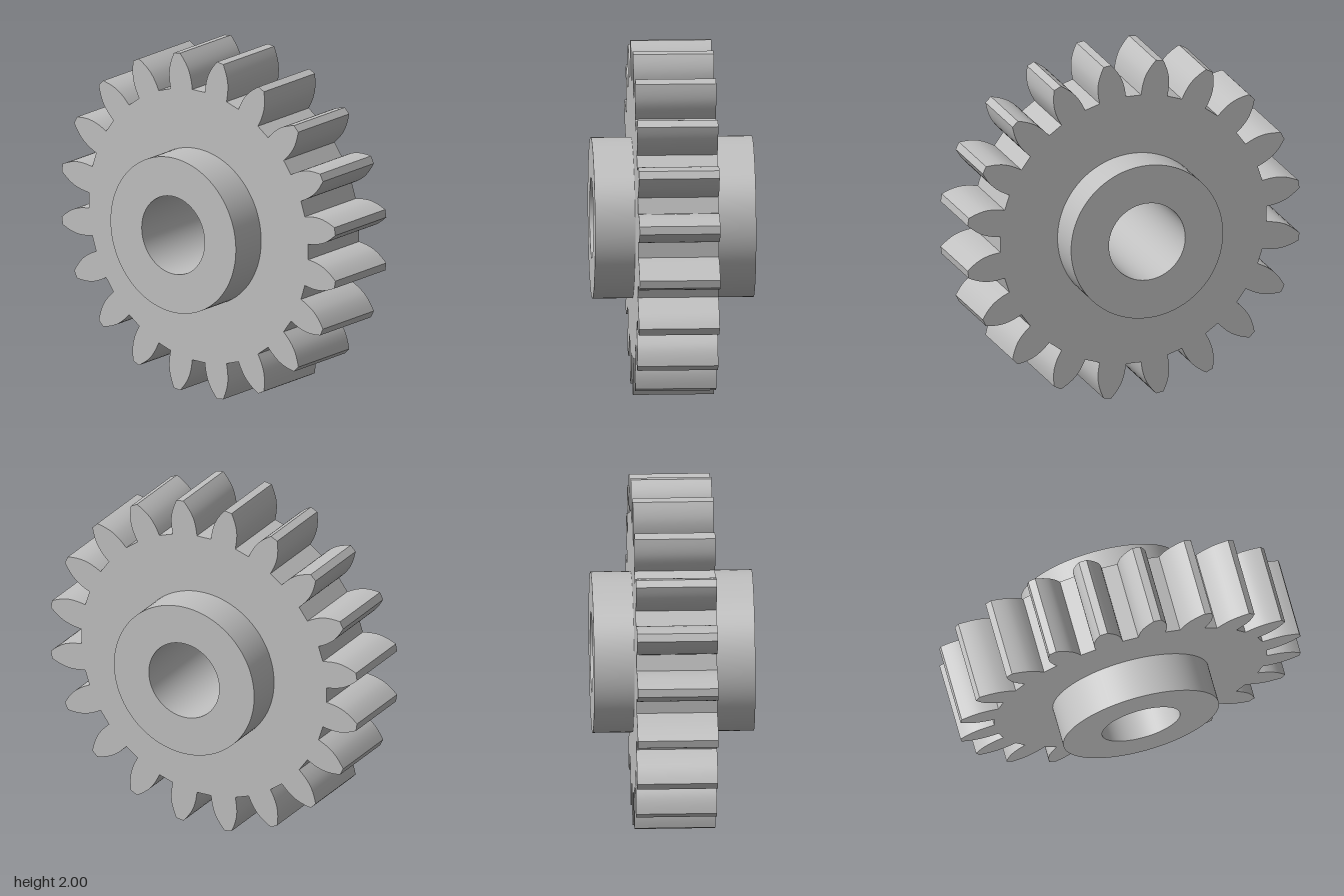
import * as THREE from 'three';
import { toCreasedNormals } from 'three/addons/utils/BufferGeometryUtils.js';

const TEETH = 20;
const GEAR_WIDTH = 0.459;
const HUB_RADIUS = 0.458;
const HUB_HALF = 0.458;
const BORE_RADIUS = 0.23;

// Tooth flank from root to tip: radius, half angle in degrees
const FLANK = [[0.803, 5.72], [0.855, 5.4], [0.911, 4.55], [0.96, 3.15], [1.009, 1.3]];

function gearOutline() {
  const flank = new THREE.SplineCurve(FLANK.map(([r, a]) => new THREE.Vector2(r, THREE.MathUtils.degToRad(a)))).getPoints(12);
  const points = [];
  const add = (r, a) => points.push(new THREE.Vector2(r * Math.cos(a), r * Math.sin(a)));
  for (let i = 0; i < TEETH; i++) {
    const centre = ((i + 0.5) * 2 * Math.PI) / TEETH;
    flank.forEach((p) => add(p.x, centre - p.y));
    [...flank].reverse().forEach((p) => add(p.x, centre + p.y));
  }
  return new THREE.Shape(points);
}

export function createModel() {
  const group = new THREE.Group();
  group.name = 'spurGear';
  const steel = new THREE.MeshStandardMaterial({ color: 0xc0c0c0 });
  steel.name = 'light grey steel';

  // Toothed wheel, seated on the hub
  const outline = gearOutline();
  outline.holes.push(new THREE.Path().absarc(0, 0, HUB_RADIUS - 0.01, 0, Math.PI * 2, true));
  const wheelGeometry = new THREE.ExtrudeGeometry(outline, { depth: GEAR_WIDTH, bevelEnabled: false, curveSegments: 48 });
  wheelGeometry.translate(0, 0, -GEAR_WIDTH / 2).rotateY(Math.PI / 2);
  const wheel = new THREE.Mesh(toCreasedNormals(wheelGeometry, 0.4), steel);
  wheel.name = 'toothedWheel';

  // Hub sleeve with the through bore
  const profile = [
    [BORE_RADIUS, -HUB_HALF], [HUB_RADIUS, -HUB_HALF],
    [HUB_RADIUS, HUB_HALF], [BORE_RADIUS, HUB_HALF], [BORE_RADIUS, -HUB_HALF],
  ].map(([r, y]) => new THREE.Vector2(r, y));
  const hubGeometry = new THREE.LatheGeometry(profile, 96).rotateZ(Math.PI / 2);
  const hub = new THREE.Mesh(toCreasedNormals(hubGeometry, 0.4), steel);
  hub.name = 'hub';

  for (const part of [wheel, hub]) {
    part.position.y = 1;
    group.add(part);
  }
  return group;
}
